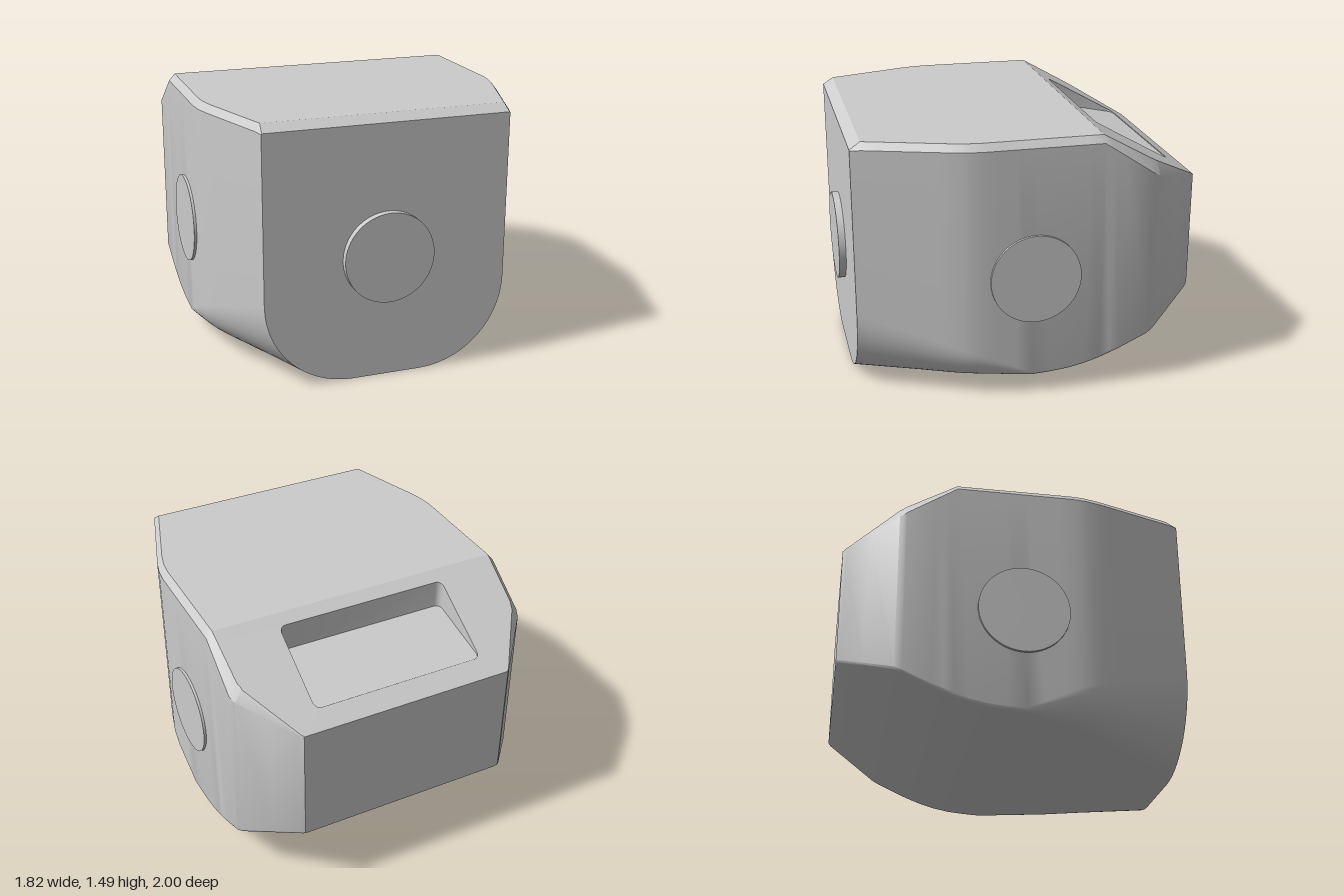
import * as THREE from 'three';
import { toCreasedNormals } from 'three/addons/utils/BufferGeometryUtils.js';

const material = new THREE.MeshStandardMaterial({ color: 0xcccccc });

// Piecewise-linear rules along z (back to front)
const rule = (...stops) => (z) => {
  for (let i = 1; i < stops.length; i++) {
    const [z0, a] = stops[i - 1], [z1, b] = stops[i];
    if (z <= z1) return a + (b - a) * Math.max(0, (z - z0) / (z1 - z0));
  }
  return stops[stops.length - 1][1];
};
const SLOPE_START = -0.38;
const halfWidth = rule([-1, 0.625], [-0.985, 0.642], [-0.7, 0.88], [-0.66, 0.895], [0.28, 0.895], [0.36, 0.887], [0.45, 0.865], [0.96, 0.698]);
const bottomY = rule([-1, 0.45], [-0.985, 0.437], [-0.5, 0.215], [-0.4, 0.175], [-0.3, 0.145], [-0.2, 0.125], [-0.1, 0.115], [0, 0.11], [0.3, 0.088], [0.6, 0.05], [0.96, 0]);
const topY = rule([-1, 1.14], [SLOPE_START, 1.49], [0.9, 1.49], [0.96, 1.45]);
const bottomRadius = rule([-1, 0.02], [0.01, 0.02], [0.45, 0.255], [0.96, 0.5]);
const chamferX = rule([-1, 0.003], [-0.68, 0.05], [SLOPE_START, 0.035], [0.9, 0.03], [0.96, 0.004]);
const chamferY = rule([-1, 0.003], [-0.68, 0.07], [SLOPE_START, 0.04], [0.9, 0.04], [0.96, 0.004]);

const STATIONS = [0.96, 0.9, 0.8, 0.7, 0.6, 0.52, 0.45, 0.4, 0.36, 0.32, 0.28, 0.2, 0.1, 0.01, -0.1, -0.2, -0.3,
  SLOPE_START, -0.44, -0.5, -0.66, -0.68, -0.7, -0.85, -0.985, -1];

function geometryFrom(positions, crease) {
  const g = new THREE.BufferGeometry();
  g.setAttribute('position', new THREE.Float32BufferAttribute(positions.flat(), 3));
  return toCreasedNormals(g, crease);
}

// Cross-section, from the top right corner down, under and up the left side
function section(z) {
  const w = halfWidth(z), t = topY(z), b = bottomY(z), r = bottomRadius(z);
  const right = [[w - chamferX(z), t, z], [w, t - chamferY(z), z]];
  for (let i = 0; i <= 14; i++) {
    const a = (i / 14) * Math.PI / 2;
    right.push([w - r + r * Math.cos(a), b + r - r * Math.sin(a), z]);
  }
  return [...right, ...right.map(([x, y]) => [-x, y, z]).reverse()];
}

// Body skin with both end faces; the sloped top is left open for the recessed panel
function bodyGeometry() {
  const loops = STATIONS.map(section), n = loops[0].length, p = [];
  for (let i = 0; i + 1 < loops.length; i++) {
    for (let j = 0; j < n; j++) {
      if (j === n - 1 && STATIONS[i] <= SLOPE_START) continue;
      const k = (j + 1) % n;
      const a = loops[i][j], b = loops[i][k], c = loops[i + 1][k], d = loops[i + 1][j];
      p.push(a, b, c, a, c, d);
    }
  }
  const front = loops[0], back = loops[loops.length - 1];
  for (let j = 0; j < n; j++) {
    const k = (j + 1) % n;
    p.push([0, 0.75, 0.96], front[k], front[j], [0, 0.8, -1], back[j], back[k]);
  }
  return geometryFrom(p, 0.5);
}

// Rounded rectangle, anticlockwise in (x, -z)
function recessOutline() {
  const x = 0.505, s0 = 0.45, s1 = 0.89, r = 0.035, pts = [];
  [[x - r, s1 - r], [-x + r, s1 - r], [-x + r, s0 + r], [x - r, s0 + r]].forEach(([cx, cy], q) => {
    for (let i = 0; i <= 5; i++) {
      const a = (q + i / 5) * Math.PI / 2;
      pts.push(new THREE.Vector2(cx + r * Math.cos(a), cy + r * Math.sin(a)));
    }
  });
  return pts;
}

// Lays a flat shape drawn in (x, -z) onto a height rule
function drape(shape, height) {
  const g = new THREE.ShapeGeometry(shape).rotateX(-Math.PI / 2);
  const pos = g.attributes.position;
  for (let i = 0; i < pos.count; i++) pos.setY(i, height(pos.getZ(i)));
  g.computeVertexNormals();
  return g;
}

export function createModel() {
  const model = new THREE.Group();
  const add = (name, geometry) => {
    const mesh = new THREE.Mesh(geometry, material);
    mesh.name = name;
    model.add(mesh);
    return mesh;
  };

  add('body', bodyGeometry());

  // Sloped rear panel with a rounded opening
  const edge = STATIONS.filter((z) => z <= SLOPE_START)
    .map((z) => new THREE.Vector2(halfWidth(z) - chamferX(z), -z));
  const panel = new THREE.Shape([...edge, ...edge.map((v) => new THREE.Vector2(-v.x, v.y)).reverse()]);
  const outline = recessOutline();
  panel.holes.push(new THREE.Path(outline));
  add('slopedPanel', drape(panel, topY));

  // Wedge-shaped recess: tilted floor that meets the panel at its lower edge
  const floorY = (z) => 1.197 + 0.21 * (z + 0.89);
  add('recessFloor', drape(new THREE.Shape(outline), floorY));
  const walls = [];
  outline.forEach((u, i) => {
    const v = outline[(i + 1) % outline.length];
    const a = [u.x, topY(-u.y), -u.y], b = [v.x, topY(-v.y), -v.y];
    const c = [v.x, floorY(-v.y), -v.y], d = [u.x, floorY(-u.y), -u.y];
    walls.push(a, b, c, a, c, d);
  });
  add('recessWalls', geometryFrom(walls, 0.5));

  // Round discs on the front and both sides
  const disc = (name, radius, depth) => add(name, new THREE.CylinderGeometry(radius, radius, depth, 64));
  const frontDisc = disc('frontDisc', 0.257, 0.06);
  frontDisc.rotation.x = Math.PI / 2;
  frontDisc.position.set(0, 0.705, 0.97);
  for (const side of [1, -1]) {
    const d = disc(side > 0 ? 'leftDisc' : 'rightDisc', 0.255, 0.04);
    d.rotation.z = Math.PI / 2;
    d.position.set(side * 0.89, 0.705, -0.005);
  }
  return model;
}
